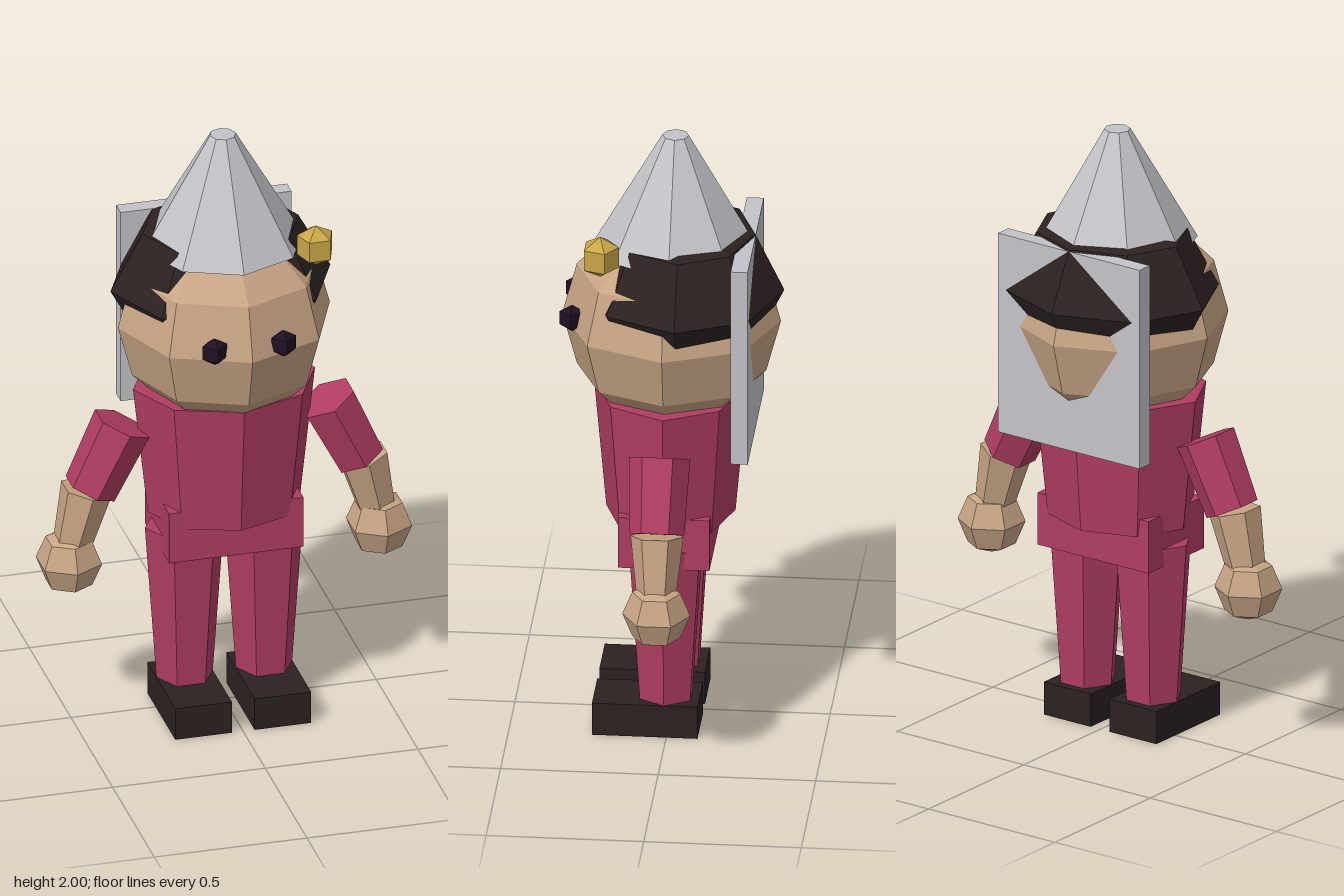
import * as THREE from 'three';

const mat = (name, color) => {
  const m = new THREE.MeshStandardMaterial({ color });
  m.name = name;
  return m;
};

export function createModel() {
  const model = new THREE.Group();
  model.name = 'figure';
  const red = mat('crimson cloth', 0xb03d62);
  const skin = mat('skin', 0xc8a585);
  const grey = mat('pale grey', 0xc4c3c9);
  const dark = mat('dark brown', 0x2c2121);
  const gold = mat('gold', 0xc9a748);
  const eyeMat = mat('dark purple', 0x1f1024);

  // Faceted mesh: split vertices so each face has its own normal
  function add(name, geo, material, x, y, z) {
    const g = geo.index ? geo.toNonIndexed() : geo;
    g.computeVertexNormals();
    const mesh = new THREE.Mesh(g, material);
    mesh.name = name;
    mesh.position.set(x, y, z);
    model.add(mesh);
    return mesh;
  }

  // Tapered six-sided limb between two points
  function limb(name, material, from, to, rTop, rBottom) {
    const a = new THREE.Vector3(...from), b = new THREE.Vector3(...to);
    const geo = new THREE.CylinderGeometry(rTop, rBottom, a.distanceTo(b), 6);
    const c = a.clone().add(b).multiplyScalar(0.5);
    const mesh = add(name, geo, material, c.x, c.y, c.z);
    mesh.quaternion.setFromUnitVectors(new THREE.Vector3(0, 1, 0), a.sub(b).normalize());
  }

  // Head and hair
  add('head', new THREE.SphereGeometry(0.347, 8, 6), skin, 0, 1.365, 0.003);
  add('hair', new THREE.SphereGeometry(0.36, 8, 4).scale(1, 0.75, 0.88), dark, 0, 1.475, -0.038);

  // Pointed hat with a bell, and the back plate
  add('hat', new THREE.CylinderGeometry(0.042, 0.257, 0.375, 8), grey, 0, 1.8125, -0.01);
  add('bell', new THREE.SphereGeometry(0.069, 5, 3).rotateY(-Math.PI / 2), gold, 0.246, 1.68, 0.207);
  add('backPlate', new THREE.BoxGeometry(0.56, 0.67, 0.054), grey, 0, 1.325, -0.237);

  // Body
  add('torso', new THREE.CylinderGeometry(0.298, 0.25, 0.44, 8).scale(1, 1, 0.82), red, 0, 0.92, 0.005);
  add('hips', new THREE.BoxGeometry(0.44, 0.175, 0.29), red, 0, 0.673, 0.008);

  // Paired parts
  for (const [side, s] of [['left', 1], ['right', -1]]) {
    add(side + 'Eye', new THREE.SphereGeometry(0.046, 4, 3), eyeMat, s * 0.113, 1.4, 0.308);

    limb(side + 'UpperArm', red, [s * 0.335, 1.027, 0.01], [s * 0.44, 0.81, 0.01], 0.097, 0.087);
    limb(side + 'Forearm', skin, [s * 0.452, 0.81, 0.008], [s * 0.508, 0.58, 0.006], 0.084, 0.058);
    add(side + 'Hand', new THREE.SphereGeometry(0.108, 6, 4).rotateY(Math.PI / 2), skin, s * 0.508, 0.562, 0.005);

    add(side + 'Leg', new THREE.CylinderGeometry(0.13, 0.092, 0.54, 6).rotateY(Math.PI / 6), red, s * 0.13, 0.375, 0.008);
    add(side + 'Shoe', new THREE.BoxGeometry(0.185, 0.11, 0.335), dark, s * 0.13, 0.055, 0.068);
  }
  return model;
}
